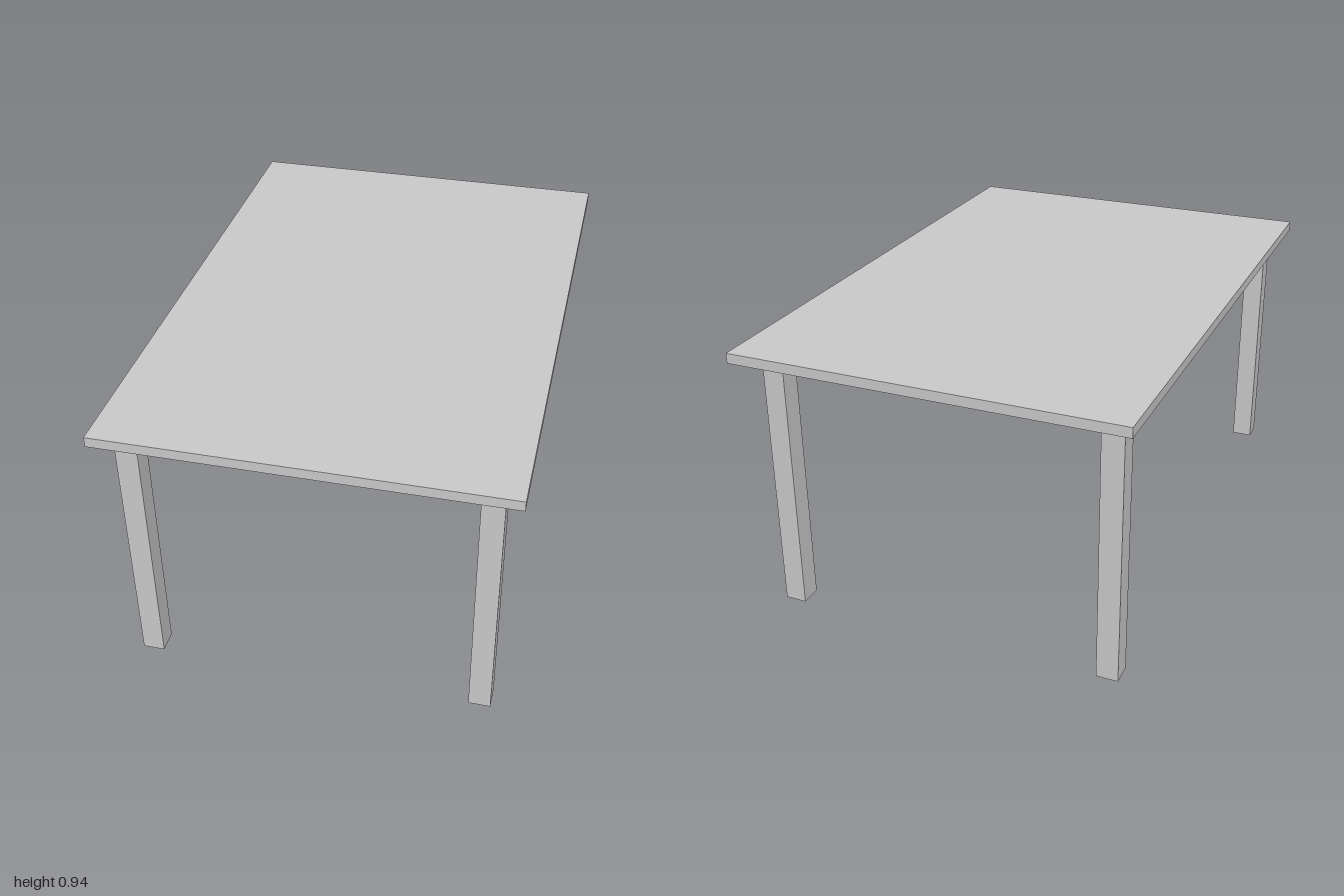
import * as THREE from 'three';

const TOP_Y = 0.94, TOP_THICK = 0.035, LEG = 0.074;

export function createModel() {
  const table = new THREE.Group();
  table.name = 'table';
  const material = new THREE.MeshStandardMaterial({ color: 0xcccccc, flatShading: true });

  const addBox = (name, size, position) => {
    const mesh = new THREE.Mesh(new THREE.BoxGeometry(...size), material);
    mesh.name = name;
    mesh.position.set(...position);
    table.add(mesh);
  };

  // Flat rectangular slab
  addBox('tableTop', [1.35, TOP_THICK, 2], [0, TOP_Y - TOP_THICK / 2, 0]);

  // Square legs; the back pair sits slightly further towards -x
  const legHeight = TOP_Y - TOP_THICK;
  const legs = [
    ['frontLeftLeg', 0.578, 0.913],
    ['frontRightLeg', -0.567, 0.913],
    ['backLeftLeg', 0.552, -0.897],
    ['backRightLeg', -0.595, -0.897],
  ];
  for (const [name, x, z] of legs) {
    addBox(name, [LEG, legHeight, LEG], [x, legHeight / 2, z]);
  }

  return table;
}
